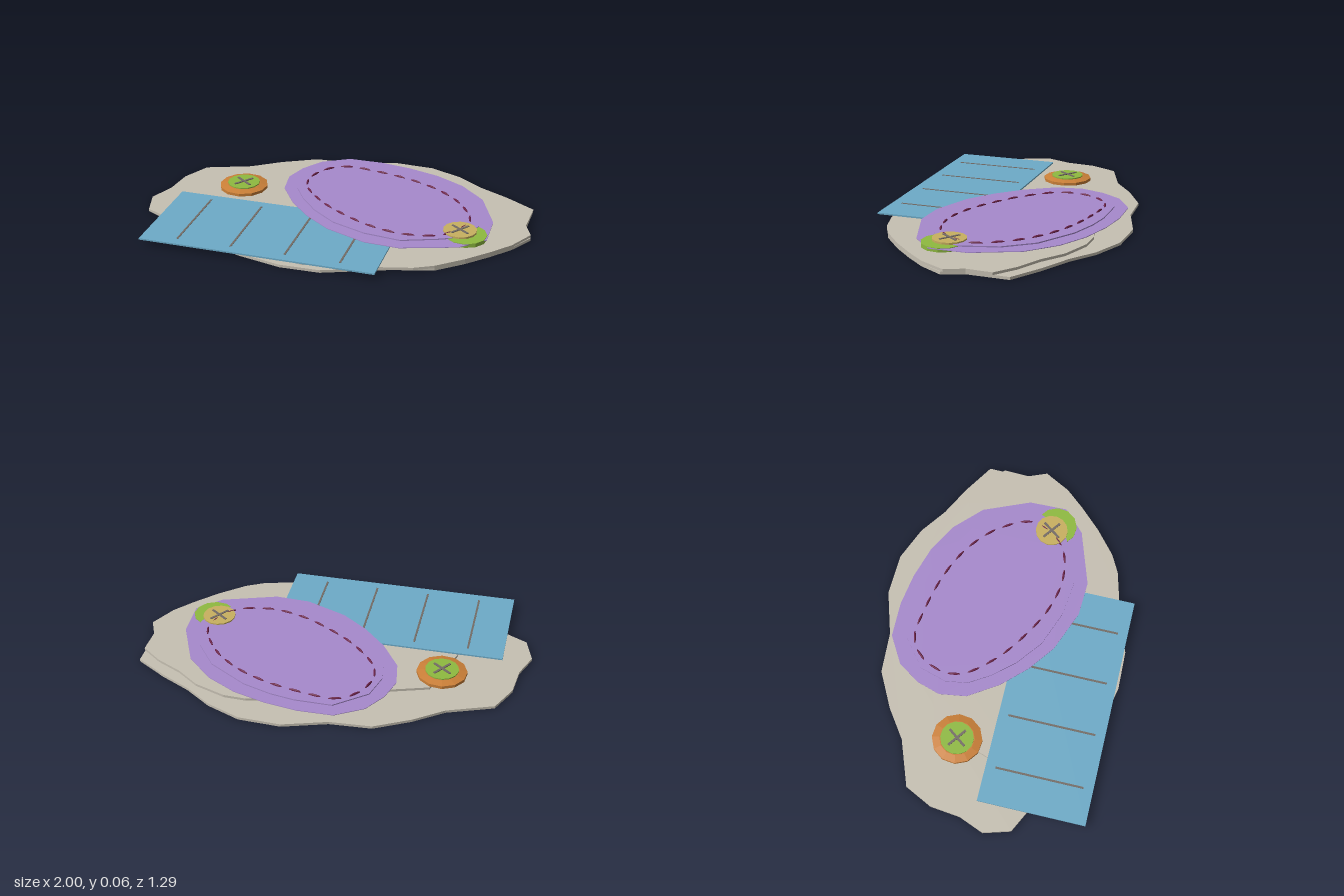
import * as THREE from 'three';

const mat = (name, color) => {
  const m = new THREE.MeshStandardMaterial({ color });
  m.name = name;
  return m;
};

// Flat slab cut from an [x, z] outline, from height y up by h
function slab(name, pts, y, h, material) {
  const shape = new THREE.Shape(pts.map(([x, z]) => new THREE.Vector2(x, -z)));
  const geo = new THREE.ExtrudeGeometry(shape, { depth: h, bevelEnabled: false });
  geo.rotateX(-Math.PI / 2).translate(0, y, 0);
  const mesh = new THREE.Mesh(geo, material);
  mesh.name = name;
  return mesh;
}

// Round disc with optional narrower top
function disc(name, x, z, y, h, rTop, rBottom, sides, material) {
  const geo = new THREE.CylinderGeometry(rTop, rBottom, h, sides).toNonIndexed();
  geo.computeVertexNormals();
  const mesh = new THREE.Mesh(geo, material);
  mesh.name = name;
  mesh.position.set(x, y + h / 2, z);
  return mesh;
}

// Two crossed threads
function cross(name, x, z, y, material) {
  const g = new THREE.Group();
  g.name = name;
  for (const a of [Math.PI / 4, -Math.PI / 4]) {
    const bar = new THREE.Mesh(new THREE.BoxGeometry(0.115, 0.004, 0.012), material);
    bar.rotation.y = a;
    g.add(bar);
  }
  g.position.set(x, y, z);
  return g;
}

export function createModel() {
  const group = new THREE.Group();
  const stone = mat('warm grey', 0xc6c0b2);
  const blue = mat('blue', 0x6dabc8);
  const purple = mat('purple', 0xa689cc);
  const orange = mat('orange', 0xcb8038);
  const green = mat('green', 0x8fba40);
  const yellow = mat('dull yellow', 0xc8b060);
  const maroon = mat('maroon', 0x6c2248);
  const thread = mat('thread grey', 0x746c66);

  // Ragged base layers
  group.add(slab('lowerBase', [
    [-1, -0.04], [-0.93, -0.16], [-0.89, -0.31], [-0.8, -0.44], [-0.56, -0.49], [-0.4, -0.57],
    [-0.21, -0.635], [0, -0.615], [0.23, -0.65], [0.44, -0.61], [0.6, -0.515], [0.72, -0.4],
    [0.86, -0.3], [1, -0.18], [0.965, 0.03], [0.99, 0.14], [0.9, 0.25], [0.8, 0.335],
    [0.68, 0.425], [0.54, 0.51], [0.33, 0.535], [0, 0.61], [-0.2, 0.585], [-0.42, 0.5],
    [-0.62, 0.39], [-0.75, 0.28], [-0.88, 0.17], [-0.98, 0.1],
  ], 0, 0.014, stone));
  group.add(slab('upperBase', [
    [-0.62, -0.05], [-0.48, -0.33], [-0.29, -0.36], [0.1, -0.45], [0.42, -0.48], [0.53, -0.46],
    [0.68, -0.38], [0.78, -0.28], [0.9, -0.195], [0.99, -0.1], [0.965, 0.03], [0.99, 0.13],
    [0.9, 0.25], [0.8, 0.335], [0.68, 0.425], [0.54, 0.51], [0.44, 0.545], [0.3, 0.56],
    [-0.1, 0.57], [-0.4, 0.46], [-0.6, 0.3], [-0.66, 0.12],
  ], 0.014, 0.013, stone));

  // Tilted blue sheet with four marks
  const sheet = new THREE.Group();
  sheet.name = 'blueSheet';
  const panel = new THREE.Mesh(new THREE.BoxGeometry(1.21, 0.008, 0.55), blue);
  panel.name = 'sheetPanel';
  sheet.add(panel);
  for (let i = 0; i < 4; i++) {
    const mark = new THREE.Mesh(new THREE.BoxGeometry(0.01, 0.002, 0.45), thread);
    mark.name = 'sheetMark';
    mark.position.set(-0.42 + 0.28 * i, 0.005, 0);
    sheet.add(mark);
  }
  sheet.position.set(-0.29, 0.032, 0.28);
  sheet.rotation.y = -0.15;
  group.add(sheet);

  // Purple patch: wide thin lip around a thicker body
  group.add(slab('patchLip', [
    [-0.02, -0.6], [0.16, -0.575], [0.32, -0.525], [0.48, -0.45], [0.62, -0.345], [0.735, -0.195],
    [0.8, 0.055], [0.775, 0.25], [0.645, 0.34], [0.355, 0.39], [0.18, 0.355], [-0.02, 0.24],
    [-0.14, 0.12], [-0.24, -0.02], [-0.315, -0.185], [-0.315, -0.325], [-0.26, -0.44], [-0.17, -0.54],
  ], 0.042, 0.003, purple));
  group.add(slab('patchBody', [
    [-0.01, -0.53], [0.18, -0.5], [0.3, -0.46], [0.44, -0.39], [0.62, -0.24], [0.705, -0.08],
    [0.73, 0.12], [0.655, 0.245], [0.54, 0.28], [0.355, 0.32], [0.17, 0.27], [0, 0.175],
    [-0.115, 0.055], [-0.195, -0.07], [-0.245, -0.185], [-0.245, -0.3], [-0.185, -0.43],
  ], 0.022, 0.029, purple));

  // Running stitches around the patch
  const path = new THREE.CatmullRomCurve3([
    [-0.02, -0.48], [0.14, -0.445], [0.35, -0.36], [0.51, -0.25], [0.63, -0.1], [0.68, 0.08],
    [0.56, 0.235], [0.38, 0.26], [0.2, 0.2], [0.03, 0.08], [-0.1, -0.05], [-0.195, -0.21],
    [-0.195, -0.32], [-0.12, -0.435],
  ].map(([x, z]) => new THREE.Vector3(x, 0.051, z)), true);
  const stitchGeo = new THREE.SphereGeometry(1, 10, 6).scale(0.034, 0.009, 0.006);
  const count = 24;
  for (let i = 0; i < count; i++) {
    const t = path.getTangentAt(i / count);
    const stitch = new THREE.Mesh(stitchGeo, maroon);
    stitch.name = 'stitch';
    stitch.position.copy(path.getPointAt(i / count));
    stitch.rotation.y = Math.atan2(-t.z, t.x);
    group.add(stitch);
  }

  // Left-hand button: orange rim, green centre
  group.add(disc('buttonRim', -0.54, -0.21, 0.026, 0.016, 0.128, 0.128, 12, orange));
  group.add(disc('buttonBevel', -0.54, -0.21, 0.042, 0.008, 0.09, 0.128, 12, orange));
  group.add(disc('buttonCentre', -0.54, -0.21, 0.046, 0.01, 0.085, 0.085, 14, green));
  group.add(cross('buttonThread', -0.54, -0.21, 0.058, thread));

  // Button at the edge of the patch: green rim, yellow centre
  group.add(disc('edgeButtonRim', 0.67, 0.205, 0.026, 0.022, 0.107, 0.107, 12, green));
  group.add(disc('edgeButtonCentre', 0.64, 0.18, 0.046, 0.012, 0.085, 0.085, 14, yellow));
  group.add(cross('edgeButtonThread', 0.64, 0.18, 0.059, thread));

  return group;
}
